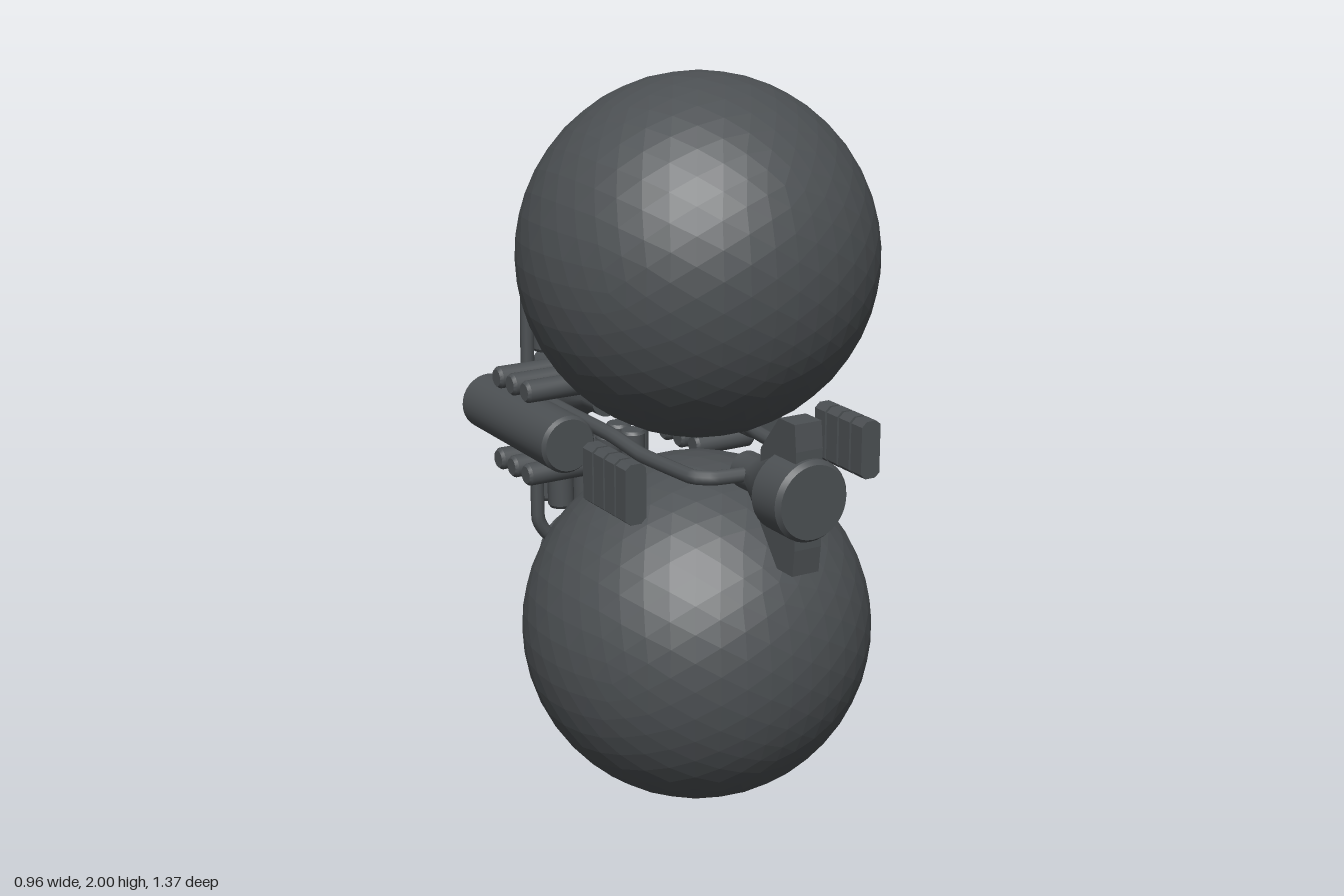
import * as THREE from 'three';
import { toCreasedNormals } from 'three/addons/utils/BufferGeometryUtils.js';

export function createModel() {
  const model = new THREE.Group();
  model.name = 'twinSphereCraft';
  const hull = new THREE.MeshStandardMaterial({ color: 0x4c5053 });
  hull.name = 'darkGrey';

  function add(parent, name, geometry, x = 0, y = 0, z = 0) {
    const mesh = new THREE.Mesh(geometry, hull);
    mesh.name = name;
    mesh.position.set(x, y, z);
    parent.add(mesh);
    return mesh;
  }

  // Turned solid along +z; profile points are [radius, z] with z rising
  function turned(profile, sides = 32) {
    const pts = profile.map(([r, z]) => new THREE.Vector2(r, z));
    const g = new THREE.LatheGeometry(pts, sides);
    g.rotateX(Math.PI / 2);
    return toCreasedNormals(g, 0.5);
  }

  // Flat outline in (z, y), given thickness across x
  function plate(points, thickness) {
    const shape = new THREE.Shape(points.map(([z, y]) => new THREE.Vector2(z, y)));
    const g = new THREE.ExtrudeGeometry(shape, { depth: thickness, bevelEnabled: false });
    g.translate(0, 0, -thickness / 2);
    g.rotateY(-Math.PI / 2);
    return g;
  }

  function pipe(points) {
    const curve = new THREE.CatmullRomCurve3(
      points.map((p) => new THREE.Vector3(...p)), false, 'catmullrom', 0.15);
    return new THREE.TubeGeometry(curve, 48, 0.02, 10);
  }

  // Two large faceted spheres
  for (const [name, y] of [['upperSphere', 1.52], ['lowerSphere', 0.484]]) {
    const g = new THREE.IcosahedronGeometry(0.48, 7);
    g.computeVertexNormals(); // flat facets
    add(model, name, g, 0, y, 0.125);
  }

  // Front and rear thrusters with a tab above and below
  function endThruster(name, tabPoints, neckEnd) {
    const group = new THREE.Group();
    group.name = name;
    group.position.y = 0.998;
    add(group, 'thrusterBody', turned([
      [0, neckEnd], [0.05, neckEnd], [0.05, 0.44], [0.075, 0.5], [0.1, 0.555],
      [0.108, 0.565], [0.108, 0.67], [0.098, 0.684], [0, 0.684],
    ]));
    for (const turn of [0, Math.PI]) {
      add(group, 'thrusterTab', plate(tabPoints, 0.08)).rotation.z = turn;
    }
    model.add(group);
    return group;
  }
  endThruster('frontThruster',
    [[0.5, 0.06], [0.66, 0.06], [0.66, 0.13], [0.652, 0.2], [0.582, 0.2], [0.5, 0.1]], 0.37);
  endThruster('rearThruster',
    [[0.56, 0.06], [0.672, 0.06], [0.672, 0.12], [0.662, 0.182], [0.61, 0.182], [0.56, 0.09]], 0.37)
    .rotation.y = Math.PI;

  // Engines behind each sphere
  function engine(name, y, nozzleEnd, nozzleRadius) {
    const group = new THREE.Group();
    group.name = name;
    group.position.y = y;
    group.rotation.y = Math.PI;
    add(group, 'engineBody', turned([
      [0, 0.3], [0.075, 0.3], [0.075, 0.34], [0.06, 0.375], [0.075, 0.4], [0.135, 0.403],
      [0.135, 0.555], [0.09, 0.595], [nozzleRadius, 0.595],
      [nozzleRadius - 0.005, nozzleEnd - 0.015],
      [nozzleRadius - 0.012, nozzleEnd], [0, nozzleEnd],
    ]));
    model.add(group);
    return group;
  }
  const upperEngine = engine('upperEngine', 1.52, 0.635, 0.085);
  engine('lowerEngine', 0.484, 0.655, 0.08);

  // Radial teeth around the upper nozzle
  for (let i = 0; i < 12; i++) {
    const tooth = add(upperEngine, 'nozzleTooth',
      plate([[0.54, 0.07], [0.605, 0.07], [0.605, 0.128], [0.59, 0.132], [0.55, 0.126]], 0.014));
    tooth.rotation.z = (i / 12) * Math.PI * 2;
  }

  // Upright canisters, two rows above and two below the rear thruster
  for (const y of [1.225, 0.775]) {
    for (const z of [-0.438, -0.522]) {
      for (const x of [-0.12, -0.04, 0.04, 0.12]) {
        const g = turned([[0, -0.097], [0.032, -0.097], [0.038, -0.088],
          [0.038, 0.088], [0.032, 0.097], [0, 0.097]], 16);
        g.rotateX(-Math.PI / 2);
        add(model, 'uprightCanister', g, x, y, z);
      }
    }
  }

  for (const s of [-1, 1]) {
    const side = new THREE.Group();
    side.name = s > 0 ? 'leftSide' : 'rightSide';
    model.add(side);

    // Long tank with a shallow domed back end
    add(side, 'sideTank', turned([
      [0, -0.545], [0.03, -0.542], [0.058, -0.535], [0.08, -0.522],
      [0.08, -0.04], [0.072, -0.028], [0, -0.028],
    ]), s * 0.306, 1.003, 0);

    // Small cross bottles above and below the tank
    for (const y of [1.122, 0.886]) {
      for (const z of [-0.18, -0.265, -0.347]) {
        const g = turned([[0, -0.097], [0.024, -0.097], [0.031, -0.088],
          [0.031, 0.088], [0.024, 0.097], [0, 0.097]], 16);
        g.rotateY(Math.PI / 2);
        add(side, 'crossBottle', g, s * 0.267, y, z);
      }
    }

    // Four upright radiator slats with clipped corners
    for (let i = 0; i < 4; i++) {
      const shape = new THREE.Shape([
        [0.33, -0.066], [0.345, -0.08], [0.375, -0.08], [0.39, -0.068],
        [0.39, 0.068], [0.375, 0.08], [0.345, 0.08], [0.33, 0.066],
      ].map(([x, y]) => new THREE.Vector2(s * x, y)));
      const g = new THREE.ExtrudeGeometry(shape, { depth: 0.049, bevelEnabled: false });
      add(side, 'radiatorSlat', g, 0, 1.005, 0.2 + i * 0.0575);
    }

    // Pipes joining the front thruster and the engines
    add(side, 'frontPipe', pipe([
      [0, 1.005, 0.43], [s * 0.12, 1.005, 0.41], [s * 0.165, 1.005, 0.37],
      [s * 0.185, 1.005, 0.15], [s * 0.19, 1.02, 0], [s * 0.19, 1.02, -0.25],
    ]));
    add(side, 'upperPipe', pipe([
      [s * 0.1, 1.47, -0.478], [s * 0.145, 1.43, -0.478], [s * 0.195, 1.36, -0.478],
      [s * 0.2, 1.08, -0.478], [s * 0.2, 1.03, -0.45], [s * 0.19, 1.02, -0.24],
    ]));
    add(side, 'lowerPipe', pipe([
      [s * 0.09, 0.54, -0.478], [s * 0.15, 0.59, -0.478], [s * 0.175, 0.64, -0.478],
      [s * 0.175, 0.94, -0.478], [s * 0.175, 0.985, -0.44], [s * 0.185, 1.0, -0.24],
    ]));
  }

  return model;
}
